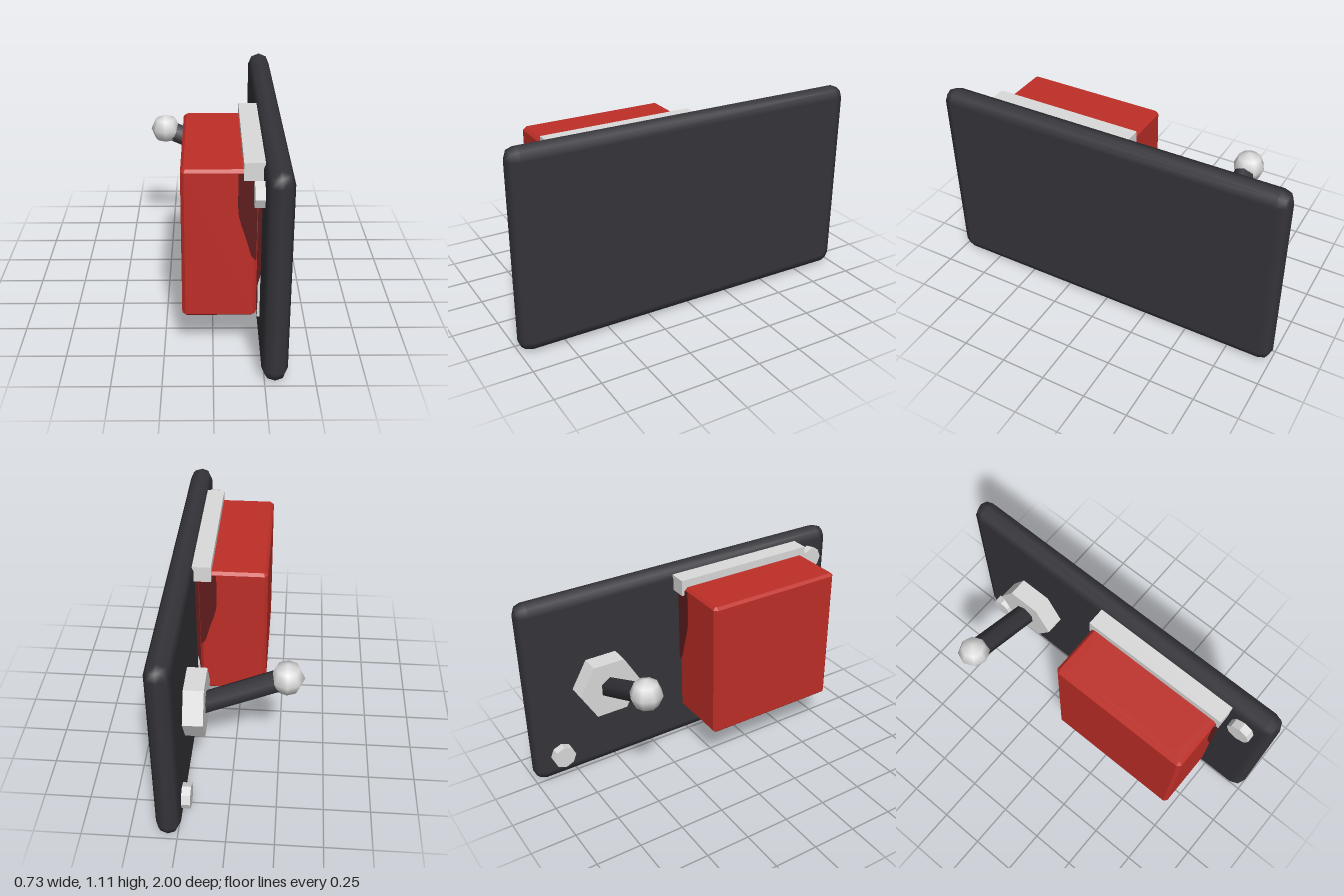
import * as THREE from 'three';
import { RoundedBoxGeometry } from 'three/addons/geometries/RoundedBoxGeometry.js';

const mat = (name, color) => {
  const m = new THREE.MeshStandardMaterial({ color });
  m.name = name;
  return m;
};

// Rectangle in plan with clipped corners
const rect = (path, x0, x1, hz, c) => path.setFromPoints([
  [x0 + c, -hz], [x1 - c, -hz], [x1, c - hz], [x1, hz - c],
  [x1 - c, hz], [x0 + c, hz], [x0, hz - c], [x0, c - hz],
].map(([x, z]) => new THREE.Vector2(x, z)));

// Upright tube between two plan rectangles
const tube = (outer, inner, height, bevel) => {
  outer.holes.push(inner);
  const g = new THREE.ExtrudeGeometry(outer, {
    depth: height, bevelEnabled: bevel > 0, bevelSize: bevel, bevelThickness: bevel, bevelSegments: 1,
  });
  return g.rotateX(-Math.PI / 2);
};

// Faceted cylinder lying along x, one corner pointing along z
const disc = (radius, length, sides) => {
  const g = new THREE.CylinderGeometry(radius, radius, length, sides).rotateZ(Math.PI / 2).toNonIndexed();
  g.computeVertexNormals();
  return g;
};

export function createModel() {
  const model = new THREE.Group();
  const charcoal = mat('charcoal', 0x34343a);
  const red = mat('red', 0xbe2e27);
  const darkRed = mat('dark red', 0x5e1c1c);
  const grey = mat('light grey', 0xdadada);

  const add = (name, geometry, material, x = 0, y = 0, z = 0) => {
    const mesh = new THREE.Mesh(geometry, material);
    mesh.name = name;
    mesh.position.set(x, y, z);
    model.add(mesh);
    return mesh;
  };
  // Side-on outline given thickness along z
  const slab = (points, depth) => new THREE.ExtrudeGeometry(
    new THREE.Shape(points.map(([x, y]) => new THREE.Vector2(x, y))), { depth, bevelEnabled: false });

  // Upright door panel with rounded rim
  add('panel', new RoundedBoxGeometry(0.13, 1.11, 2, 1, 0.0645), charcoal, 0.3, 0.555, 0);

  // Box shell: chamfered tube open at the bottom, closed by a lid
  const boxZ = 0.33;
  add('boxShell', tube(rect(new THREE.Shape(), -0.14, 0.2, 0.385, 0.008),
    rect(new THREE.Path(), -0.1, 0.16, 0.345, 0.008), 0.77, 0.015), red, 0, 0.24, boxZ);
  add('boxLid', new THREE.BoxGeometry(0.29, 0.03, 0.72), red, 0.03, 1.01, boxZ);

  // Dark lining and ceiling of the cavity
  add('boxLining', tube(rect(new THREE.Shape(), -0.09, 0.15, 0.335, 0.008),
    rect(new THREE.Path(), -0.08, 0.14, 0.325, 0.008), 0.74, 0), darkRed, 0, 0.25, boxZ);
  add('boxCeiling', new THREE.BoxGeometry(0.24, 0.01, 0.67), darkRed, 0.03, 0.985, boxZ);

  // Tapered dark seat against the panel, with a grey backing plate
  add('boxSeat', slab([[0.2, 0.25], [0.222, 0.25], [0.222, 0.4], [0.24, 0.48], [0.24, 0.98], [0.2, 0.98]], 0.76),
    darkRed, 0, 0, -0.05);
  add('backingPlate', new THREE.BoxGeometry(0.016, 0.25, 0.74), grey, 0.23, 0.33, boxZ);

  // Curved dark cut-outs on both ends of the box
  const cut = [[0.21, 1.008], [0.118, 1.008], [0.118, 0.84], [0.122, 0.79], [0.135, 0.74],
    [0.155, 0.68], [0.185, 0.575], [0.205, 0.55], [0.21, 0.56]];
  for (const z of [-0.074, 0.728]) add('endCutout', slab(cut, 0.006), darkRed, 0, 0, z);

  // Hinge bar over the box
  add('hingeBar', new THREE.BoxGeometry(0.1, 0.09, 0.84), grey, 0.193, 1.025, boxZ);

  // Two bolts in opposite corners
  for (const s of [-1, 1]) {
    add('bolt', disc(0.066, 0.06, 8), grey, 0.218, 0.557 + s * 0.398, s * 0.842);
  }

  // Lever: hexagonal hub, sloping arm and ball knob
  const leverZ = -0.56;
  add('leverHub', disc(0.18, 0.12, 6), grey, 0.19, 0.555, leverZ);
  const knob = new THREE.Vector3(-0.28, 0.746, leverZ);
  const root = new THREE.Vector3(0.17, 0.543, leverZ);
  const axis = knob.clone().sub(root);
  const arm = add('leverArm',
    new THREE.CylinderGeometry(0.06, 0.06, axis.length(), 6).rotateY(Math.PI / 6), charcoal);
  arm.position.copy(root).add(knob).multiplyScalar(0.5);
  arm.quaternion.setFromUnitVectors(new THREE.Vector3(0, 1, 0), axis.normalize());
  add('leverKnob', new THREE.SphereGeometry(0.088, 8, 4), grey, knob.x, knob.y, knob.z);

  return model;
}
